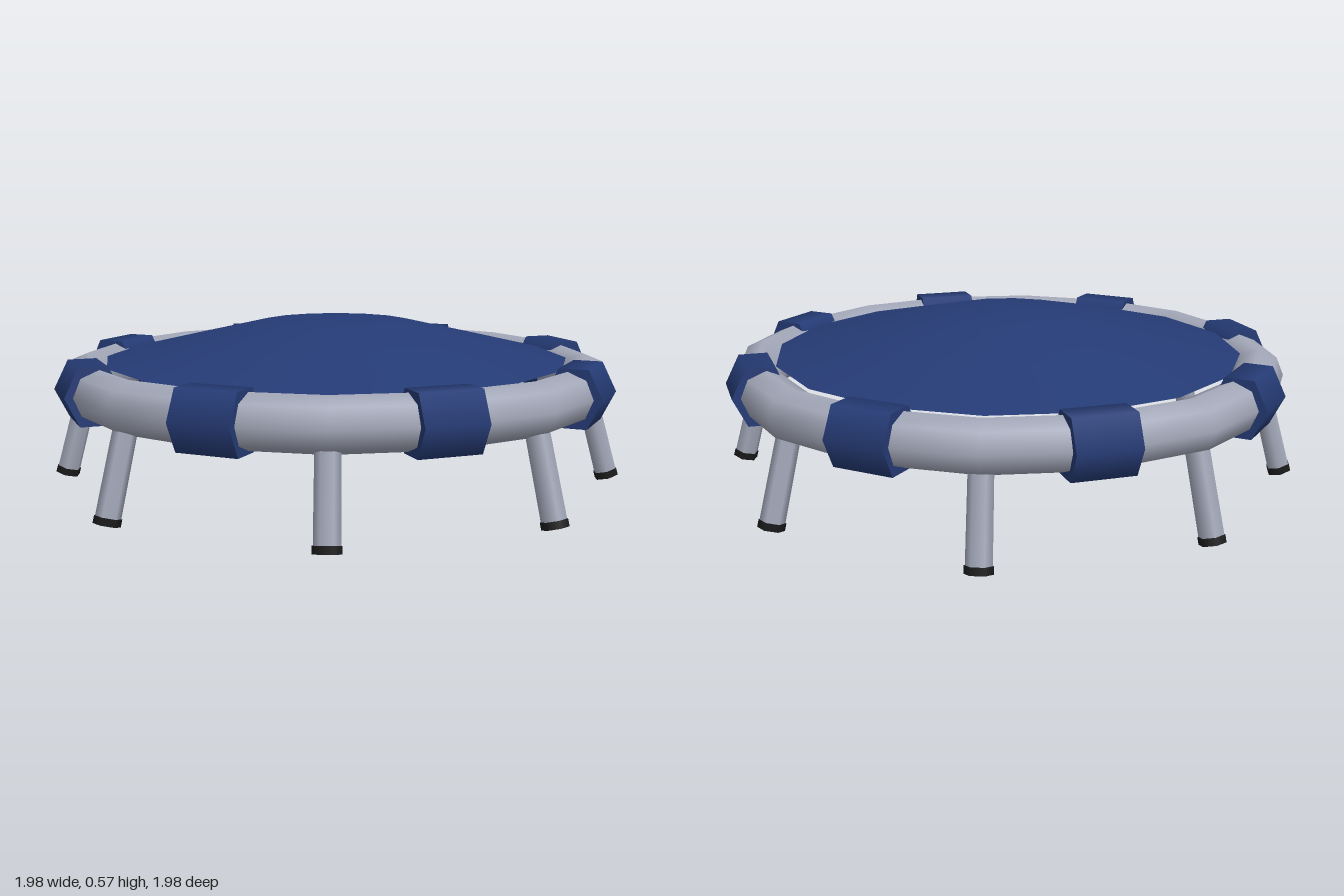
import * as THREE from 'three';

const mat = (name, color, side = THREE.FrontSide) => {
  const m = new THREE.MeshStandardMaterial({ color, side });
  m.name = name;
  return m;
};

export function createModel() {
  const group = new THREE.Group();
  const blue = mat('navy fabric', 0x253b75, THREE.DoubleSide);
  const grey = mat('grey padding', 0xa4a9ba);
  const black = mat('black rubber', 0x1a1a1a);

  const add = (parent, name, geometry, material) => {
    const mesh = new THREE.Mesh(geometry, material);
    mesh.name = name;
    parent.add(mesh);
    return mesh;
  };

  // Padded rim, sixteen straight pieces
  const rim = new THREE.TorusGeometry(0.863, 0.086, 8, 16);
  rim.rotateX(-Math.PI / 2).translate(0, 0.36, 0);
  add(group, 'paddedRim', rim, grey);

  // Shallow domed jumping mat
  const profile = [[0.8, 0.432], [0.52, 0.498], [0.26, 0.558], [0.12, 0.57], [0, 0.573]]
    .map(([r, y]) => new THREE.Vector2(r, y));
  add(group, 'jumpingMat', new THREE.LatheGeometry(profile, 16), blue);

  // Six-sided band lying along z, wrapped around the rim
  const bandGeometry = new THREE.CylinderGeometry(0.095, 0.095, 0.205, 6);
  bandGeometry.rotateY(Math.PI / 6).rotateX(Math.PI / 2).scale(1, 1.16, 1);

  // Splayed leg with a rubber cap, built along its own axis from the floor up
  const legGeometry = new THREE.CylinderGeometry(0.038, 0.04, 0.3, 6).translate(0, 0.172, 0);
  const footGeometry = new THREE.CylinderGeometry(0.043, 0.043, 0.024, 6).translate(0, 0.012, 0);

  for (let i = 0; i < 8; i++) {
    const angle = i * Math.PI / 4;

    const legSpoke = new THREE.Group();
    legSpoke.name = 'leg' + (i + 1);
    legSpoke.rotation.y = angle;
    const leg = new THREE.Group();
    leg.name = 'splayedLeg';
    leg.position.set(0.956, 0.011, 0);
    leg.rotation.z = 0.265;
    add(leg, 'legTube', legGeometry, grey);
    add(leg, 'rubberFoot', footGeometry, black);
    legSpoke.add(leg);

    const bandSpoke = new THREE.Group();
    bandSpoke.name = 'rimBand' + (i + 1);
    bandSpoke.rotation.y = angle + Math.PI / 8;
    add(bandSpoke, 'band', bandGeometry, blue).position.set(0.862, 0.36, 0);

    group.add(legSpoke, bandSpoke);
  }
  return group;
}
